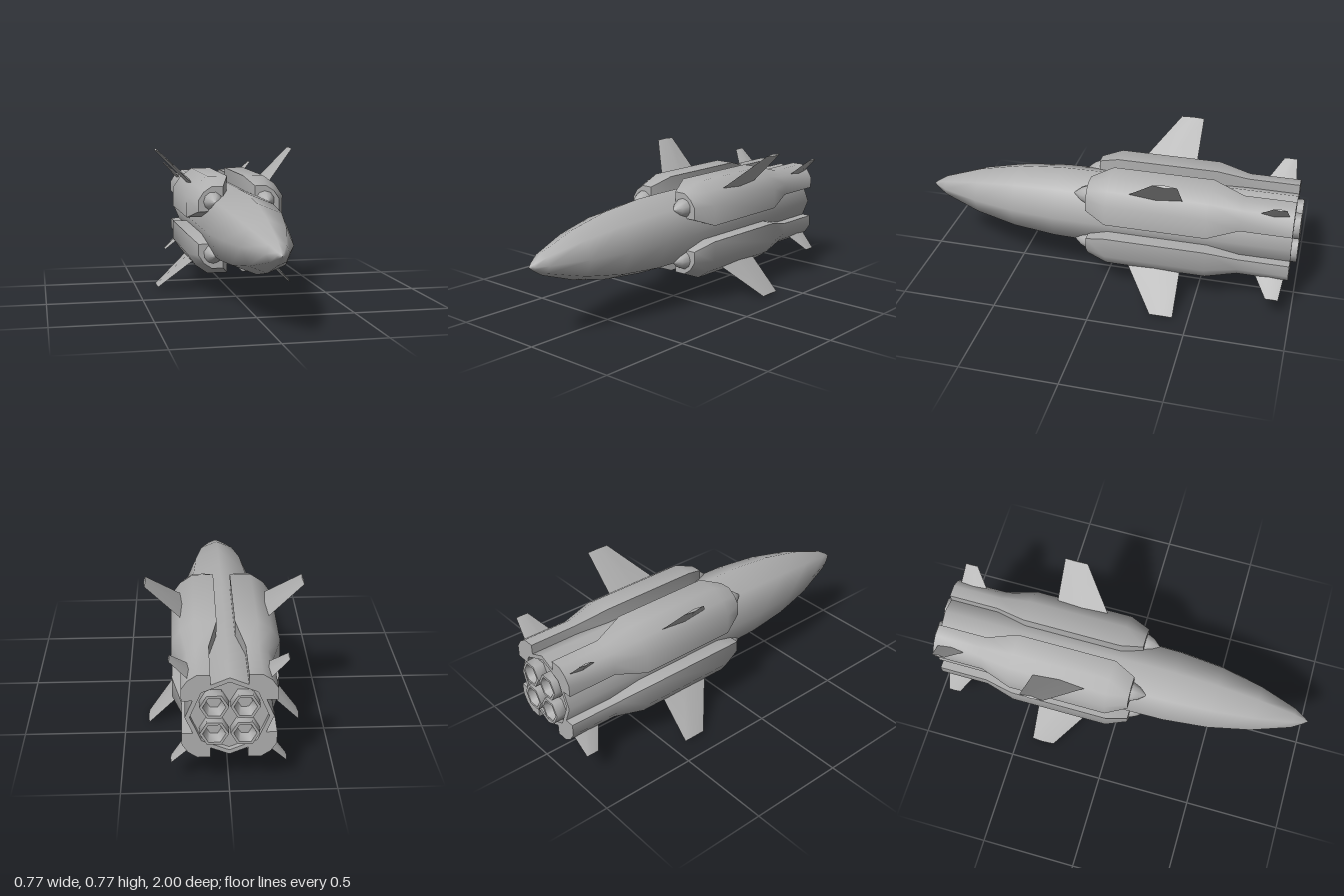
import * as THREE from 'three';
import { toCreasedNormals } from 'three/addons/utils/BufferGeometryUtils.js';

const hullGrey = new THREE.MeshStandardMaterial({ color: 0xb0b0b0 });
hullGrey.name = 'hull grey';

function part(name, geometry, crease) {
  const mesh = new THREE.Mesh(toCreasedNormals(geometry, crease), hullGrey);
  mesh.name = name;
  return mesh;
}

// Revolves [radius, z] pairs, rear to nose, around the z axis
function revolve(profile, sides) {
  const points = profile.map(([r, z]) => new THREE.Vector2(r, z));
  return new THREE.LatheGeometry(points, sides).rotateX(Math.PI / 2);
}

// Skins a series of equal-length rings of [x, y, z] and caps both ends
function loft(rings) {
  const n = rings[0].length, last = (rings.length - 1) * n, index = [];
  for (let i = 0; i < rings.length - 1; i++) {
    for (let j = 0; j < n; j++) {
      const a = i * n + j, b = i * n + (j + 1) % n;
      index.push(a, b, b + n, a, b + n, a + n);
    }
  }
  for (let j = 1; j < n - 1; j++) {
    index.push(0, j + 1, j, last, last + j, last + j + 1);
  }
  const g = new THREE.BufferGeometry();
  g.setAttribute('position', new THREE.Float32BufferAttribute(rings.flat(2), 3));
  g.setIndex(index);
  return g;
}

// Thin diamond-section fin growing along x; sections are [x, zBack, zFront, halfThickness]
function fin(name, sections) {
  const rings = sections.map(([x, back, front, t]) => {
    const mid = (back + front) / 2;
    return [[x, t, mid], [x, 0, front], [x, -t, mid], [x, 0, back]];
  });
  const mesh = part(name, loft(rings), 0.6);
  mesh.rotation.z = Math.PI / 4;
  return mesh;
}

// Side pod with its spike and two fins, on the upper left diagonal
function createBooster() {
  const booster = new THREE.Group();
  const slim = [[0.139, 0.139], [0.164, 0.085], [0.215, 0.085], [0.215, 0.145],
    [0.187, 0.187], [0.145, 0.215], [0.085, 0.215], [0.085, 0.164]];
  const wide = [[0.139, 0.139], [0.175, 0.045], [0.26, 0.043], [0.26, 0.15],
    [0.215, 0.215], [0.15, 0.26], [0.043, 0.26], [0.045, 0.175]];
  const at = (section, z) => section.map(([x, y]) => [x, y, z]);
  booster.add(part('boosterPod',
    loft([at(slim, -0.97), at(slim, -0.71), at(wide, -0.55), at(wide, -0.03), at(slim, 0.08)]), 0.8));

  const spike = part('intakeSpike',
    revolve([[0.05, 0.06], [0.05, 0.085], [0.034, 0.12], [0, 0.16]], 10), 0.9);
  spike.position.set(0.138, 0.138, 0);
  booster.add(spike);

  booster.add(fin('mainFin', [[0.26, -0.42, -0.12, 0.013], [0.54, -0.42, -0.3, 0.007]]));
  booster.add(fin('tailFin', [[0.23, -0.95, -0.785, 0.011], [0.375, -0.935, -0.87, 0.005]]));
  return booster;
}

export function createModel() {
  const model = new THREE.Group();
  model.name = 'rocket';
  const craft = new THREE.Group();
  craft.name = 'craft';
  craft.position.y = 0.39;
  model.add(craft);

  // Eight-sided hull with a recessed tail
  craft.add(part('hull', revolve([[0, -0.945], [0.178, -0.945], [0.178, -0.97], [0.2, -0.97],
    [0.2, 0.1], [0.197, 0.27], [0.174, 0.5], [0.126, 0.72], [0.055, 0.92], [0.02, 0.975], [0, 1]], 8), 0.9));

  // Boosters around the hull, each with its engine nozzle in the tail
  for (let i = 0; i < 4; i++) {
    const booster = createBooster();
    booster.name = 'booster' + (i + 1);
    booster.rotation.z = i * Math.PI / 2;
    craft.add(booster);

    const nozzle = part('nozzle', revolve([[0, -0.95], [0.034, -0.95], [0.052, -1],
      [0.066, -1], [0.066, -0.94]], 6).rotateZ(Math.PI / 2), 1.1);
    const angle = Math.PI / 4 + i * Math.PI / 2;
    nozzle.position.set(0.098 * Math.cos(angle), 0.098 * Math.sin(angle), 0);
    craft.add(nozzle);
  }
  return model;
}
